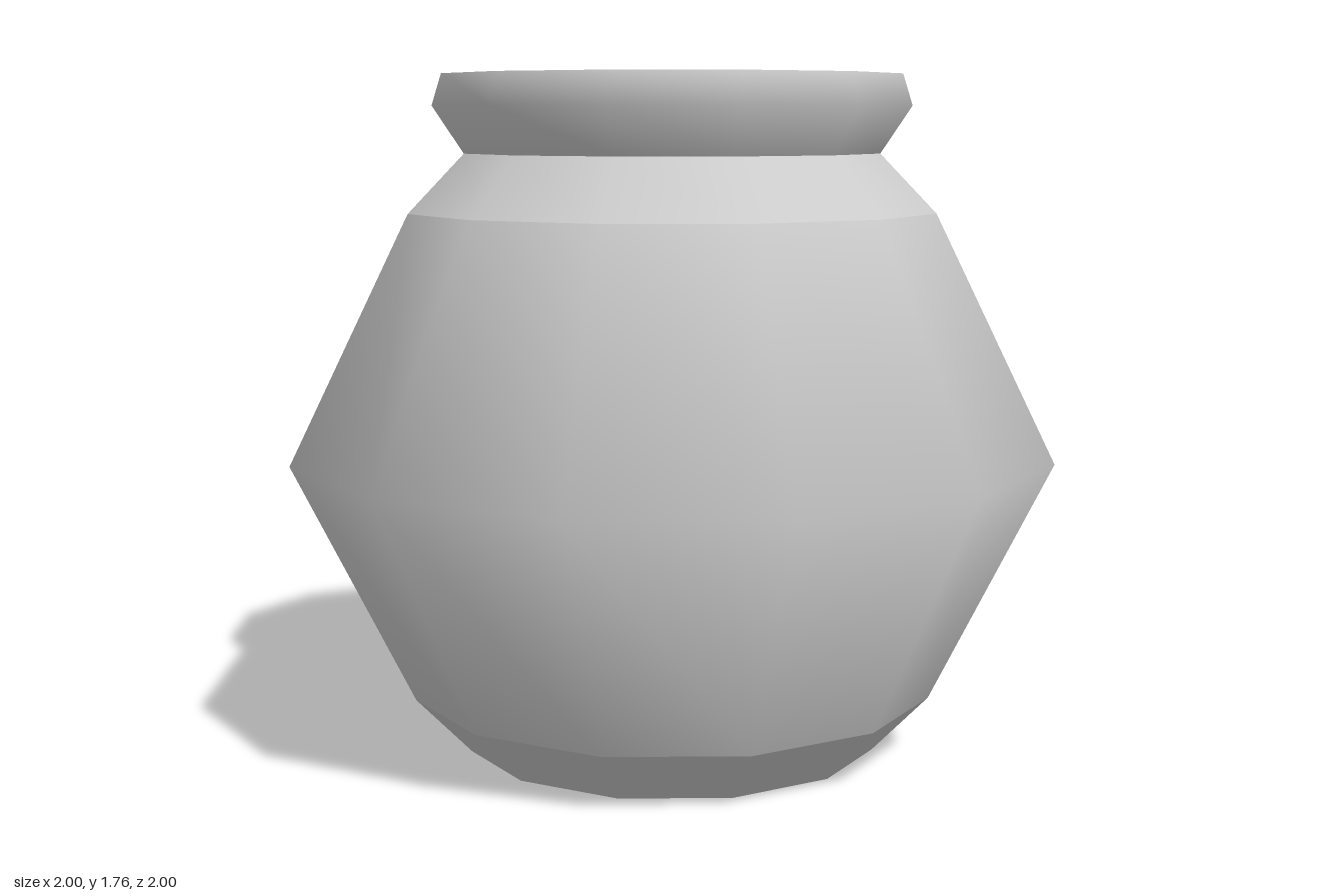
import * as THREE from 'three';

const SIDES = 12;

export function createModel() {
  const model = new THREE.Group();
  const material = new THREE.MeshStandardMaterial({ color: 0xcccccc });

  const add = (name, geometry) => {
    const mesh = new THREE.Mesh(geometry, material);
    mesh.name = name;
    model.add(mesh);
    return mesh;
  };

  // Each band is smooth within itself; edges between bands stay sharp.
  const band = (name, profile) =>
    add(name, new THREE.LatheGeometry(profile.map(([r, y]) => new THREE.Vector2(r, y)), SIDES));

  // Flat disc facing up (1) or down (-1)
  const disc = (name, radius, y, facing) => {
    const geometry = new THREE.CircleGeometry(radius, SIDES);
    geometry.rotateX(-facing * Math.PI / 2);
    geometry.translate(0, y, 0);
    add(name, geometry);
  };

  // Jar body
  disc('jarBottom', 0.545, 0, -1);
  band('baseBevel', [[0.545, 0], [0.69, 0.15]]);
  band('belly', [[0.69, 0.15], [1, 0.78], [0.69, 1.41]]);
  band('shoulder', [[0.69, 1.41], [0.545, 1.56]]);

  // Flared lid
  band('lidRim', [[0.545, 1.56], [0.625, 1.68], [0.6, 1.76]]);
  disc('lidTop', 0.6, 1.76, 1);

  return model;
}
